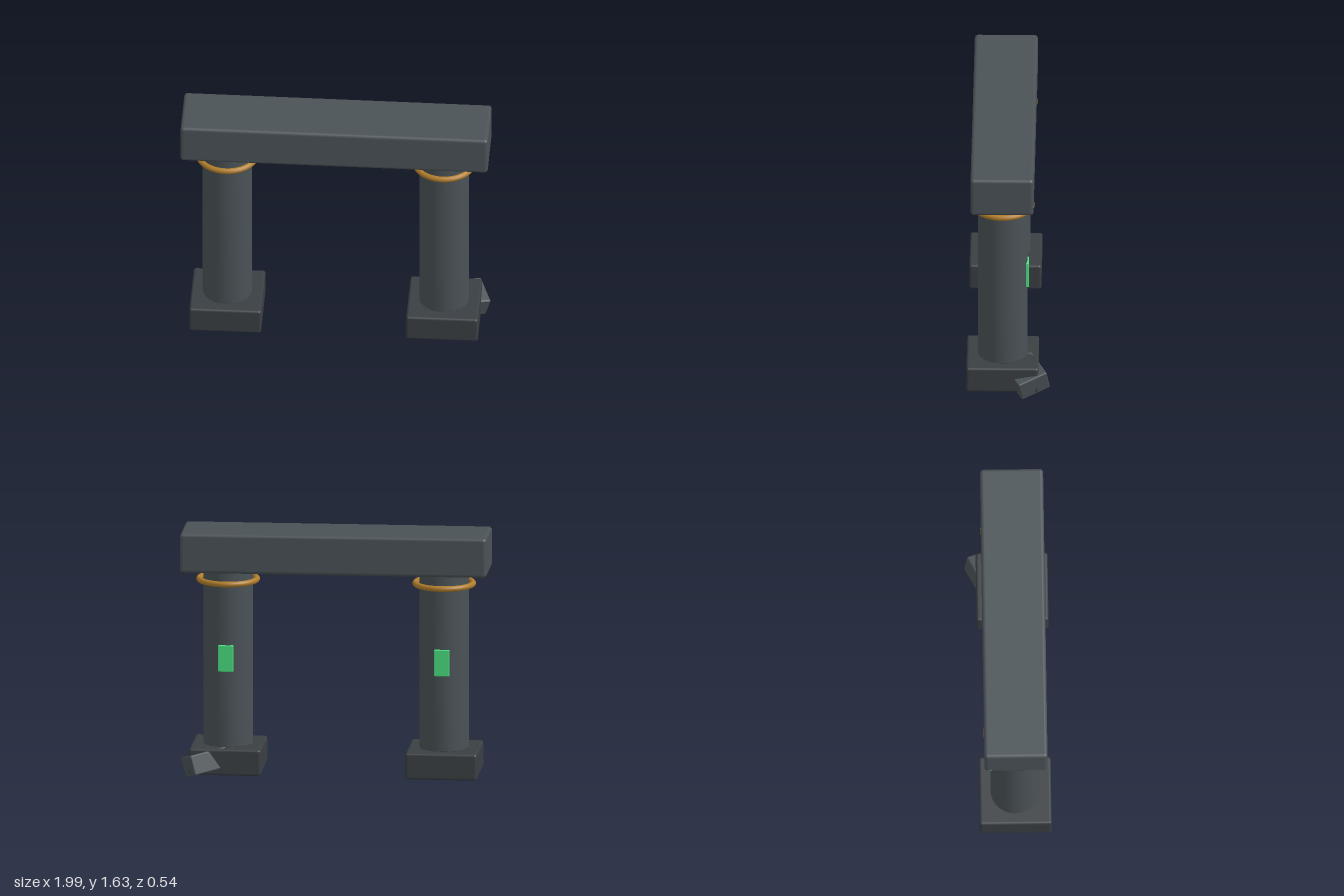
import * as THREE from 'three';
import { RoundedBoxGeometry } from 'three/addons/geometries/RoundedBoxGeometry.js';
import { toCreasedNormals } from 'three/addons/utils/BufferGeometryUtils.js';

const stone = new THREE.MeshStandardMaterial({ color: 0x4a5256 });
const darkStone = new THREE.MeshStandardMaterial({ color: 0x3a3f43 });
const bronze = new THREE.MeshStandardMaterial({ color: 0xb07d2b });
const green = new THREE.MeshStandardMaterial({ color: 0x4ade80 });

const AXIS_Z = 0.04; // the pillars and lintel sit slightly forward of centre

function addMesh(parent, name, geometry, material, x, y, z) {
  const mesh = new THREE.Mesh(geometry, material);
  mesh.name = name;
  mesh.position.set(x, y, z);
  parent.add(mesh);
  return mesh;
}

// Round shaft with a small chamfer at both ends
function shaftGeometry(radius, y0, y1, chamfer) {
  const profile = [
    [0, y0], [radius - chamfer, y0], [radius, y0 + chamfer],
    [radius, y1 - chamfer], [radius - chamfer, y1], [0, y1],
  ].map(([r, y]) => new THREE.Vector2(r, y));
  return toCreasedNormals(new THREE.LatheGeometry(profile, 32), 0.6);
}

function createPillar(name, x) {
  const pillar = new THREE.Group();
  pillar.name = name;
  pillar.position.set(x, 0, AXIS_Z);
  addMesh(pillar, 'base', new RoundedBoxGeometry(0.465, 0.173, 0.465, 3, 0.016), darkStone, 0, 0.128, 0);
  addMesh(pillar, 'shaft', shaftGeometry(0.16, 0.205, 1.385, 0.012), stone, 0, 0, 0);
  const ring = addMesh(pillar, 'ring', new THREE.TorusGeometry(0.187, 0.019, 12, 48), bronze, 0, 1.297, 0);
  ring.rotation.x = Math.PI / 2;
  // Glowing inlay on the back of the shaft
  addMesh(pillar, 'inlay', new RoundedBoxGeometry(0.1, 0.175, 0.03, 2, 0.006), green, 0, 0.802, -0.155);
  return pillar;
}

export function createModel() {
  const gate = new THREE.Group();
  gate.name = 'stoneGate';

  gate.add(createPillar('rightPillar', -0.703), createPillar('leftPillar', 0.7));

  // Lintel, settled by a hair to one side
  const lintel = addMesh(gate, 'lintel', new RoundedBoxGeometry(1.99, 0.26, 0.408, 3, 0.022), stone, 0, 1.502, 0.041);
  lintel.rotation.z = -0.004;

  // Fallen block wedged into the back corner of the left base
  const block = addMesh(gate, 'fallenBlock', new RoundedBoxGeometry(0.25, 0.133, 0.205, 3, 0.01), stone, 0.83, 0.113, -0.115);
  const xAxis = new THREE.Vector3(0.885, -0.18, -0.43).normalize();
  const zAxis = new THREE.Vector3().crossVectors(xAxis, new THREE.Vector3(0.27, 0.94, 0.17)).normalize();
  const yAxis = new THREE.Vector3().crossVectors(zAxis, xAxis);
  block.quaternion.setFromRotationMatrix(new THREE.Matrix4().makeBasis(xAxis, yAxis, zAxis));

  return gate;
}
